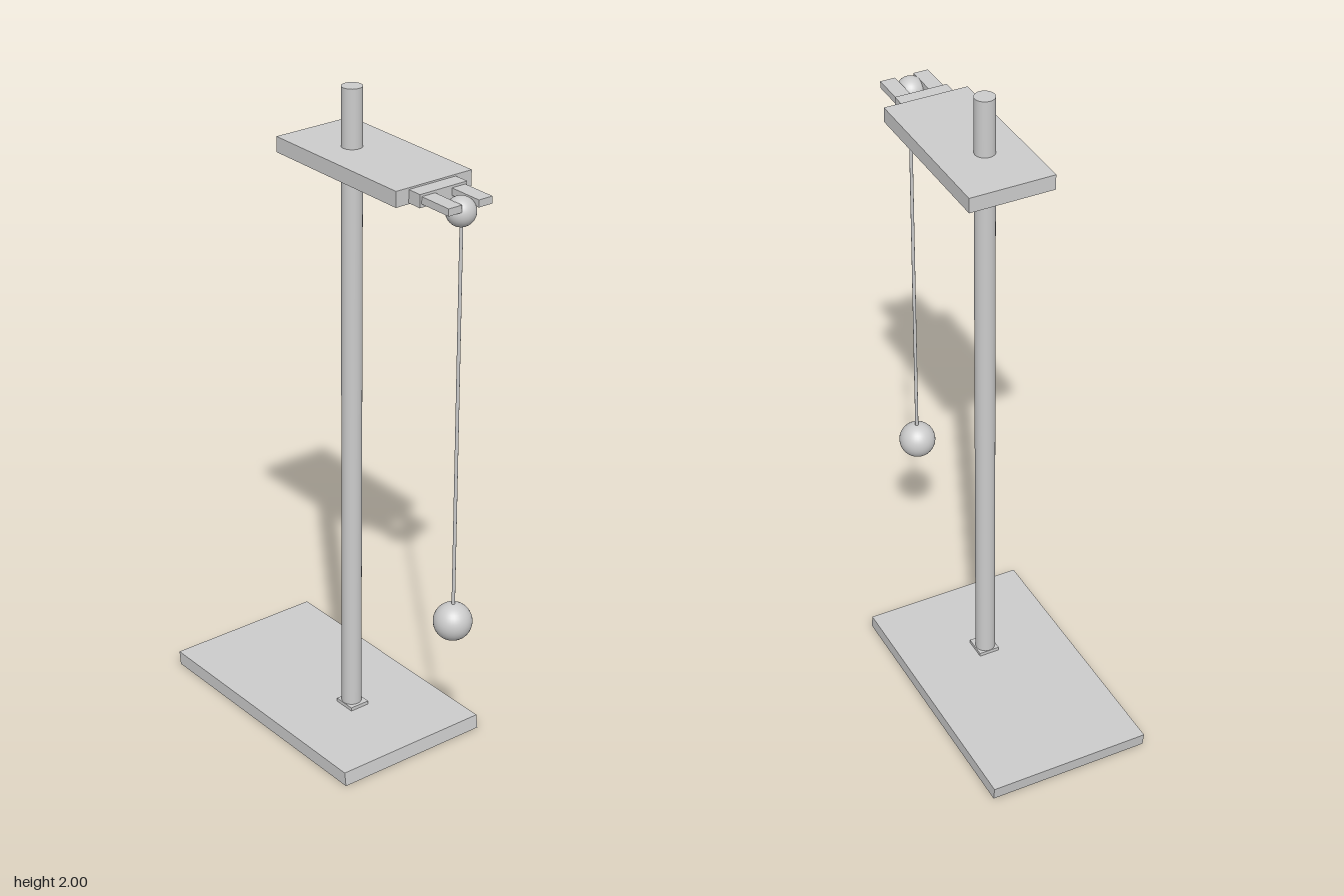
import * as THREE from 'three';

export function createModel() {
  const model = new THREE.Group();
  const material = new THREE.MeshStandardMaterial({ color: 0xcccccc });

  const add = (name, geometry, x = 0, y = 0, z = 0) => {
    const mesh = new THREE.Mesh(geometry, material);
    mesh.name = name;
    mesh.position.set(x, y, z);
    model.add(mesh);
    return mesh;
  };
  // Box given by its extents along each axis
  const slab = (name, x0, x1, y0, y1, z0, z1) =>
    add(name, new THREE.BoxGeometry(x1 - x0, y1 - y0, z1 - z0),
      (x0 + x1) / 2, (y0 + y1) / 2, (z0 + z1) / 2);
  // Upright cylinder between two heights
  const rod = (name, radius, x, z, y0, y1, sides) =>
    add(name, new THREE.CylinderGeometry(radius, radius, y1 - y0, sides), x, (y0 + y1) / 2, z);

  // Base plate, its upper face set back a little
  const base = slab('base', -0.25, 0.25, 0, 0.042, -0.529, 0.315);
  const pos = base.geometry.attributes.position;
  for (let i = 0; i < pos.count; i++) {
    if (pos.getY(i) > 0) pos.setZ(i, pos.getZ(i) - 0.006);
  }
  base.geometry.computeVertexNormals();

  // Upright post with its small foot plate
  slab('postFoot', -0.034, 0.03, 0.04, 0.053, -0.007, 0.063);
  rod('post', 0.03, -0.003, 0.024, 0.03, 2, 32);

  // Arm: wide plate, narrower neck, two prongs
  slab('armPlate', -0.12, 0.138, 1.782, 1.828, -0.163, 0.36);
  slab('armNeck', -0.077, 0.083, 1.785, 1.823, 0.35, 0.406);
  slab('rightProng', -0.071, -0.026, 1.795, 1.816, 0.4, 0.515);
  slab('leftProng', 0.031, 0.077, 1.795, 1.816, 0.4, 0.515);

  // Pendulum: pivot ball held by the prongs, thin string and bob
  add('pivotBall', new THREE.SphereGeometry(0.042, 32, 20), -0.002, 1.783, 0.483);
  rod('string', 0.005, 0.002, 0.481, 0.56, 1.78, 12);
  add('bob', new THREE.SphereGeometry(0.056, 32, 20), 0.001, 0.544, 0.481);

  return model;
}
